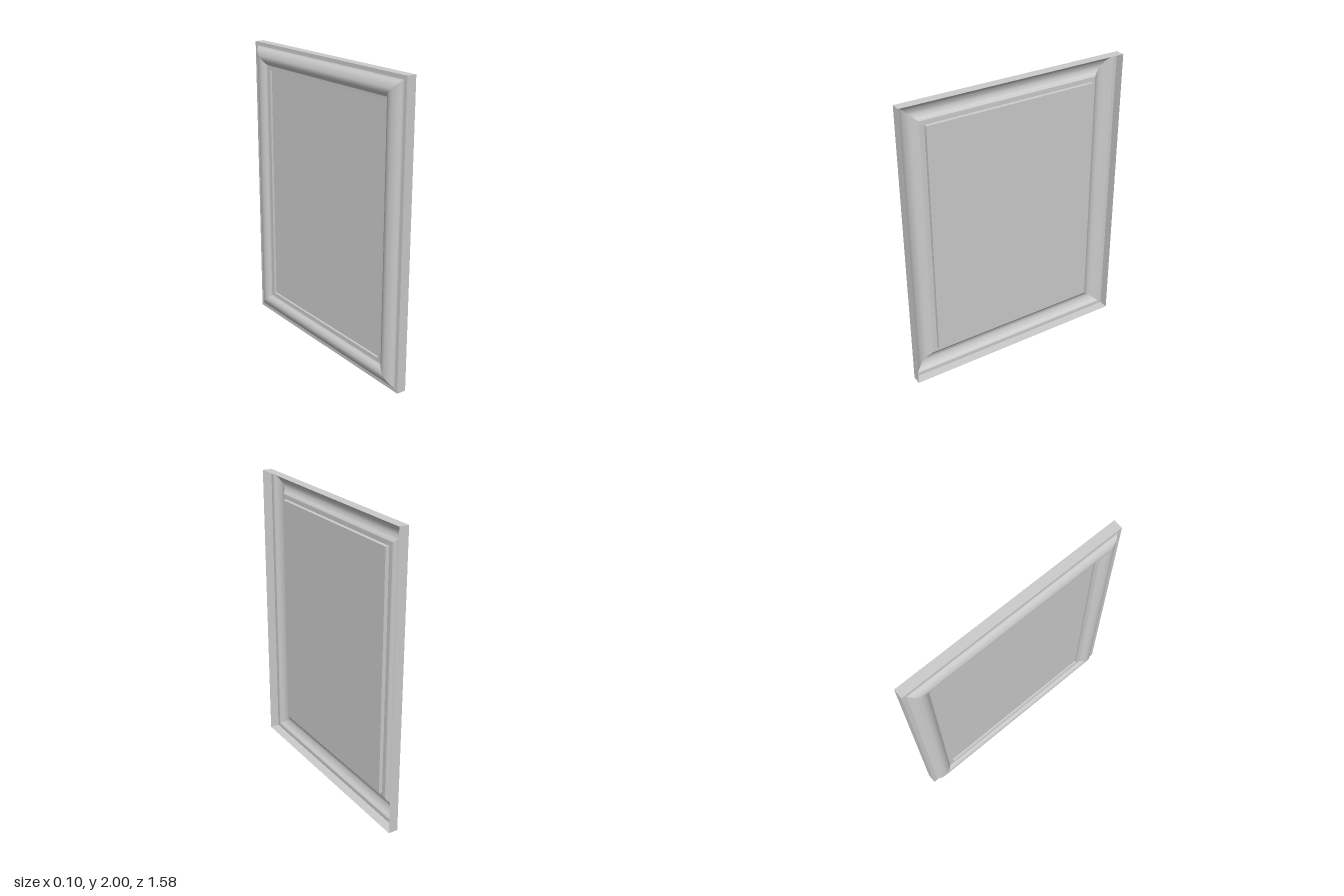
import * as THREE from 'three';

const OUTER = { y: 1, z: 0.79 };      // half sizes of the outer edge
const INNER = { y: 0.828, z: 0.6 };   // half sizes of the opening
const WIDTH = 0.19;                   // width of the moulding
const CORNERS = [[-1, 1], [1, 1], [1, -1], [-1, -1]]; // signs of y, z

// Sweep a profile of (distance from outer edge, x) along one mitred side
function mitredSide(profile, side) {
  const positions = [], index = [];
  for (const p of profile) {
    const t = p.x / WIDTH;
    for (const k of [side, (side + 1) % 4]) {
      const [sy, sz] = CORNERS[k];
      positions.push(
        p.y,
        1 + sy * THREE.MathUtils.lerp(OUTER.y, INNER.y, t),
        sz * THREE.MathUtils.lerp(OUTER.z, INNER.z, t)
      );
    }
  }
  for (let i = 0; i < profile.length - 1; i++) {
    const a = i * 2;
    index.push(a, a + 1, a + 2, a + 1, a + 3, a + 2);
  }
  const geometry = new THREE.BufferGeometry();
  geometry.setAttribute('position', new THREE.Float32BufferAttribute(positions, 3));
  geometry.setIndex(index);
  geometry.computeVertexNormals();
  return geometry;
}

export function createModel() {
  const model = new THREE.Group();
  model.name = 'pictureFrame';
  const material = new THREE.MeshStandardMaterial({ color: 0xcccccc, side: THREE.DoubleSide });
  const points = (list) => list.map(([d, x]) => new THREE.Vector2(d, x));

  // Rounded moulding between a flat outer ledge and a flat inner lip
  const bulge = new THREE.SplineCurve(points([
    [0.027, -0.015], [0.036, -0.02], [0.05, -0.032], [0.07, -0.043], [0.1, -0.05],
    [0.128, -0.044], [0.147, -0.031], [0.158, -0.024],
  ])).getPoints(28);

  // Each strip is smooth along itself and meets the next at a sharp edge
  const strips = {
    outerWall: points([[0, 0.05], [0, -0.015]]),
    moulding: [...points([[0, -0.015]]), ...bulge, ...points([[WIDTH, -0.024]])],
    openingWall: points([[WIDTH, -0.024], [WIDTH, 0]]),
  };

  const sideNames = ['leftInViewSide', 'topSide', 'oppositeSide', 'bottomSide'];
  sideNames.forEach((sideName, side) => {
    const group = new THREE.Group();
    group.name = sideName;
    for (const [name, profile] of Object.entries(strips)) {
      const mesh = new THREE.Mesh(mitredSide(profile, side), material);
      mesh.name = name;
      group.add(mesh);
    }
    model.add(group);
  });

  // Thin panel filling the opening
  const panel = new THREE.Mesh(
    new THREE.BoxGeometry(0.01, INNER.y * 2, INNER.z * 2),
    material
  );
  panel.name = 'panel';
  panel.position.set(-0.004, 1, 0);
  model.add(panel);

  return model;
}
